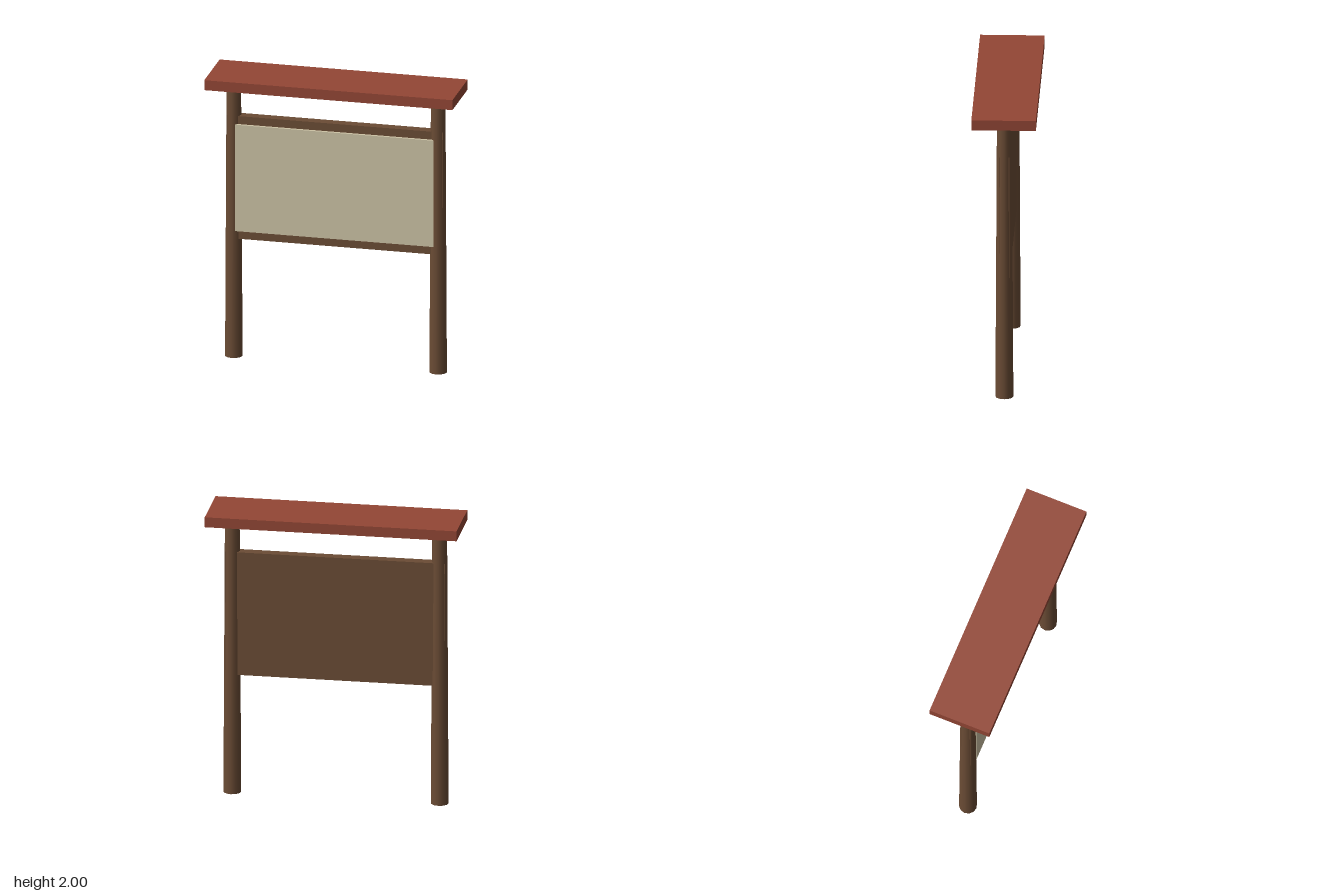
import * as THREE from 'three';

export function createModel() {
  const wood = new THREE.MeshStandardMaterial({ color: 0x6b4c35 });
  wood.name = 'brown wood';
  const paper = new THREE.MeshStandardMaterial({ color: 0xcdc3a5 });
  paper.name = 'cream panel';
  const red = new THREE.MeshStandardMaterial({ color: 0x934635 });
  red.name = 'red roof';

  const model = new THREE.Group();
  model.name = 'noticeBoard';
  const add = (name, geometry, material, x, y, z) => {
    const mesh = new THREE.Mesh(geometry, material);
    mesh.name = name;
    mesh.position.set(x, y, z);
    model.add(mesh);
  };

  // Tapered round posts, stopping just short of the roof
  for (const side of [-1, 1]) {
    add(side > 0 ? 'leftPost' : 'rightPost',
      new THREE.CylinderGeometry(0.05, 0.06, 1.92, 12), wood, side * 0.7, 0.96, 0);
  }

  // Backing board let into the posts, with the display panel on its front
  add('backBoard', new THREE.BoxGeometry(1.484, 0.865, 0.068), wood, 0, 1.2685, 0);
  add('displayPanel', new THREE.BoxGeometry(1.36, 0.75, 0.02), paper, 0, 1.27, 0.043);

  // Flat roof slab
  add('roof', new THREE.BoxGeometry(1.7, 0.07, 0.43), red, 0, 1.965, 0);

  return model;
}
